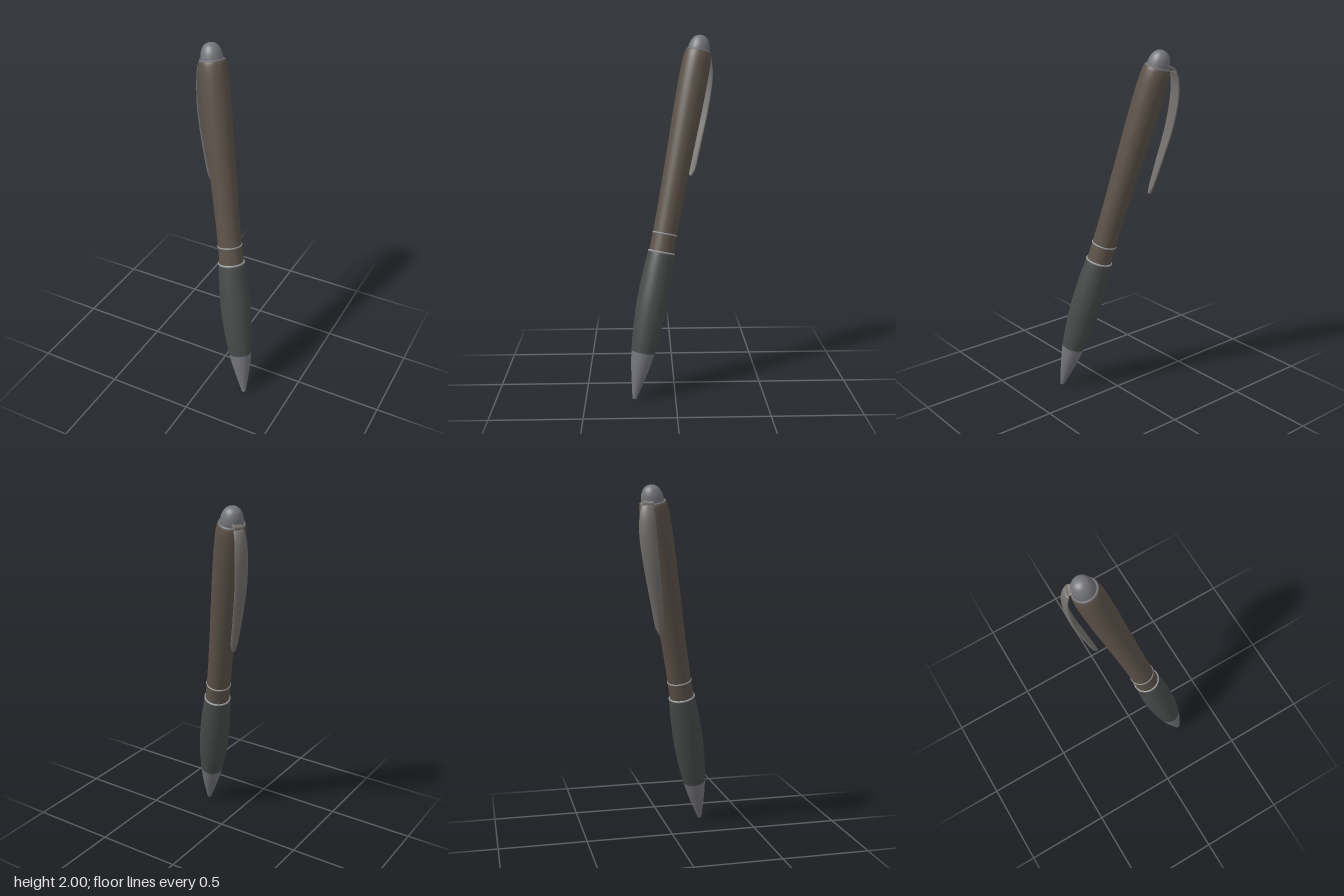
import * as THREE from 'three';

const SEG = 48;
const material = (color) => new THREE.MeshStandardMaterial({ color });

// Smooth turned part from [radius, distance from the writing tip] points
function turned(name, points, mat, steps = 24) {
  const curve = new THREE.SplineCurve(points.map(([r, s]) => new THREE.Vector2(r, s)));
  const profile = curve.getPoints(steps);
  profile.forEach((p) => { p.x = Math.max(p.x, 0); });
  const mesh = new THREE.Mesh(new THREE.LatheGeometry(profile, SEG), mat);
  mesh.name = name;
  return mesh;
}

function ring(name, radius, tube, s, mat) {
  const mesh = new THREE.Mesh(new THREE.TorusGeometry(radius, tube, 8, SEG), mat);
  mesh.rotation.x = Math.PI / 2;
  mesh.position.y = s;
  mesh.name = name;
  return mesh;
}

// Bowed blade: crescent cross-sections swept along a curved centre line
function clipGeometry() {
  // x, y, z, half width
  const stations = [
    [-0.185, 1.915, -0.163, 0.026],
    [-0.222, 1.895, -0.183, 0.032],
    [-0.242, 1.84, -0.189, 0.041],
    [-0.246, 1.74, -0.187, 0.046],
    [-0.231, 1.58, -0.166, 0.043],
    [-0.188, 1.38, -0.131, 0.033],
    [-0.154, 1.24, -0.108, 0.023],
    [-0.144, 1.2, -0.102, 0.008],
  ];
  const path = new THREE.CatmullRomCurve3(stations.map(([x, y, z]) => new THREE.Vector3(x, y, z)));
  const widths = new THREE.CatmullRomCurve3(stations.map((s, i) => new THREE.Vector3(i, s[3], 0)));
  const rows = 40, sides = 20;
  const across = new THREE.Vector3(-0.25, 0, 0.97).normalize();
  const pos = [], index = [];
  for (let i = 0; i <= rows; i++) {
    const t = i / rows;
    const c = path.getPoint(t), w = widths.getPoint(t).y;
    const along = path.getTangent(t);
    const side = across.clone().addScaledVector(along, -across.dot(along)).normalize();
    const out = new THREE.Vector3().crossVectors(side, along).normalize();
    if (out.x > 0 && i > 6) out.negate();
    for (let j = 0; j < sides; j++) {
      const a = (j / sides) * Math.PI * 2;
      const u = Math.cos(a);
      const h = Math.sin(a) * 0.011 + 0.25 * w * (0.5 - u * u);
      const p = c.clone().addScaledVector(side, u * w).addScaledVector(out, h);
      pos.push(p.x, p.y, p.z);
    }
  }
  for (let i = 0; i < rows; i++) {
    for (let j = 0; j < sides; j++) {
      const k = (j + 1) % sides;
      const a = i * sides + j, b = i * sides + k;
      index.push(a, a + sides, b, b, a + sides, b + sides);
    }
  }
  // End caps
  for (let j = 1; j < sides - 1; j++) {
    const e = rows * sides;
    index.push(0, j, j + 1, e, e + j + 1, e + j);
  }
  const g = new THREE.BufferGeometry();
  g.setAttribute('position', new THREE.Float32BufferAttribute(pos, 3));
  g.setIndex(index);
  g.computeVertexNormals();
  return g;
}

export function createModel() {
  const model = new THREE.Group();
  model.name = 'pen';
  const brown = material(0x5c5249), rubber = material(0x484a4a);
  const metal = material(0x74757a), bright = material(0x96979a);

  // Upright pen, later leaned onto its axis
  const body = new THREE.Group();
  body.name = 'penBody';
  body.add(
    turned('writingTip', [[0, 0], [0.011, 0.002], [0.017, 0.025], [0.037, 0.11], [0.054, 0.19], [0.066, 0.265]], metal),
    turned('grip', [[0.066, 0.265], [0.077, 0.36], [0.085, 0.48], [0.087, 0.58], [0.083, 0.71], [0.075, 0.825], [0.066, 0.832]], rubber, 36),
    turned('lowerBand', [[0.07, 0.828], [0.069, 0.88], [0.068, 0.935]], brown),
    turned('barrel', [[0.068, 0.935], [0.068, 1.05], [0.07, 1.2], [0.075, 1.42], [0.08, 1.62], [0.082, 1.78],
      [0.081, 1.89], [0.077, 1.95], [0.069, 1.98], [0.052, 1.985]], brown, 60),
    ring('gripRing', 0.0715, 0.006, 0.832, bright),
    ring('barrelRing', 0.067, 0.005, 0.937, bright),
    ring('shoulderRing', 0.065, 0.006, 1.98, metal),
    turned('pushButton', [[0.06, 1.97], [0.06, 2.0], [0.054, 2.03], [0.04, 2.056], [0.02, 2.07], [0, 2.074]], metal),
  );
  const tip = new THREE.Vector3(0.245, 0.003, 0.23);
  const axis = new THREE.Vector3(-0.42, 1.995, -0.39).normalize();
  body.position.copy(tip);
  body.quaternion.setFromUnitVectors(new THREE.Vector3(0, 1, 0), axis);
  model.add(body);

  // Pocket clip
  const clipMaterial = material(0x74716d);
  clipMaterial.side = THREE.DoubleSide;
  const clip = new THREE.Mesh(clipGeometry(), clipMaterial);
  clip.name = 'pocketClip';
  model.add(clip);
  return model;
}
